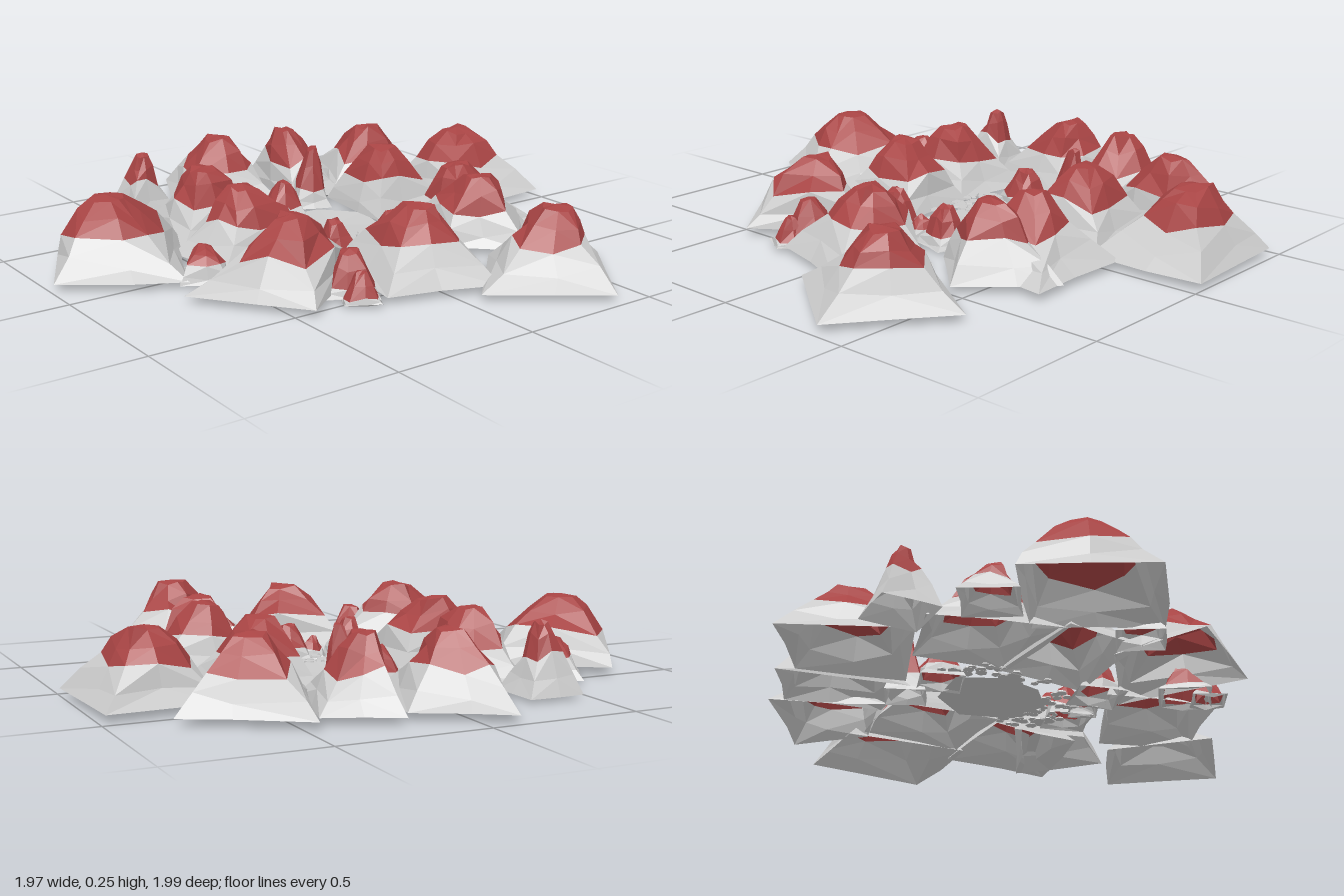
import * as THREE from 'three';

const grey = new THREE.MeshStandardMaterial({ color: 0xcccccc, flatShading: true, side: THREE.DoubleSide });
const red = new THREE.MeshStandardMaterial({ color: 0xa84444, flatShading: true, side: THREE.DoubleSide });

let seed = 11;
const rnd = () => ((seed = (seed * 16807) % 2147483647) / 2147483647);
const jit = (a) => (rnd() - 0.5) * 2 * a;

// Skin a stack of closed rings with triangles; the last ring is closed by a fan if an apex is given
function skin(rings, apex) {
  const pos = [];
  const tri = (...pts) => pts.forEach((p) => pos.push(p.x, p.y, p.z));
  for (let k = 0; k + 1 < rings.length; k++) {
    const a = rings[k], b = rings[k + 1], n = a.length;
    for (let i = 0; i < n; i++) {
      const j = (i + 1) % n;
      if (i % 2) { tri(a[j], a[i], b[i]); tri(a[j], b[i], b[j]); }
      else { tri(a[j], a[i], b[j]); tri(a[i], b[i], b[j]); }
    }
  }
  if (apex) {
    const t = rings[rings.length - 1];
    t.forEach((p, i) => tri(t[(i + 1) % t.length], p, apex));
  }
  const g = new THREE.BufferGeometry();
  g.setAttribute('position', new THREE.Float32BufferAttribute(pos, 3));
  g.computeVertexNormals();
  return g;
}

// One hollow peak: four base corners clockwise from above, cap centre and radius, heights
function mountain(name, corners, cx, cz, r, y0, ySnow, yTop) {
  // Wavy base outline with a point in the middle of each edge
  const base = [];
  corners.forEach((p, i) => {
    const q = corners[(i + 1) % 4];
    const m = p.clone().lerp(q, 0.5 + jit(0.1));
    m.lerp(new THREE.Vector2(cx, cz), 0.01 + jit(0.07));
    base.push(new THREE.Vector3(p.x, y0, p.y), new THREE.Vector3(m.x, y0, m.y));
  });
  // Cap rings follow the base outline, rounded off
  const reach = base.map((p) => Math.hypot(p.x - cx, p.z - cz));
  const mean = reach.reduce((a, b) => a + b) / reach.length;
  const ring = (scale, y, dy, ox, oz) => base.map((p, i) => {
    const f = r * scale * (reach[i] / mean) ** 0.35 * (1 + jit(0.12)) / reach[i];
    return new THREE.Vector3(cx + ox + (p.x - cx) * f, y + jit(dy), cz + oz + (p.z - cz) * f);
  });
  const ox = jit(r * 0.15), oz = jit(r * 0.15);
  const snow = ring(1, ySnow, (yTop - y0) * 0.1, 0, 0);
  const mid = base.map((p, i) => {
    const q = p.clone().lerp(snow[i], 0.5 + jit(0.1));
    q.x += jit(mean * 0.05);
    q.z += jit(mean * 0.05);
    q.y += i % 2 ? -0.014 : 0;
    return q;
  });
  const shoulder = ring(0.68, ySnow + (yTop - ySnow) * 0.52, (yTop - y0) * 0.06, ox / 2, oz / 2);
  const top = ring(0.37, yTop - 0.009, 0.009, ox, oz);
  const group = new THREE.Group();
  group.name = name;
  const slope = new THREE.Mesh(skin([base, mid, snow]), grey);
  slope.name = 'slope';
  const cap = new THREE.Mesh(skin([snow, shoulder, top], new THREE.Vector3(cx + ox, yTop, cz + oz)), red);
  cap.name = 'cap';
  group.add(slope, cap);
  return group;
}

// Large peaks: x, z of the four corners, then cap x, z and radius
const large = [
  [-0.47, -0.98, -0.03, -1, -0.02, -0.58, -0.46, -0.62, -0.28, -0.79, 0.15],
  [-0.6, -0.82, -0.39, -0.62, -0.44, -0.31, -0.82, -0.46, -0.53, -0.55, 0.135],
  [-0.77, -0.44, -0.44, -0.37, -0.43, -0.13, -0.88, -0.21, -0.65, -0.25, 0.115],
  [-0.42, -0.58, -0.05, -0.59, -0.04, -0.25, -0.42, -0.28, -0.24, -0.4, 0.135],
  [-0.04, -0.69, 0.37, -0.69, 0.3, -0.3, -0.03, -0.28, 0.13, -0.47, 0.12],
  [0.26, -0.7, 0.5, -0.45, 0.31, -0.25, 0.05, -0.3, 0.26, -0.41, 0.125],
  [0.64, -0.64, 0.98, -0.38, 0.73, -0.04, 0.45, -0.32, 0.69, -0.36, 0.135],
  [0.39, -0.28, 0.7, -0.15, 0.58, 0.21, 0.19, 0.12, 0.41, -0.02, 0.14],
  [-0.82, -0.18, -0.46, -0.1, -0.59, 0.28, -0.99, 0.1, -0.7, 0.04, 0.135],
  [-0.52, 0.09, -0.2, 0.13, -0.17, 0.5, -0.6, 0.38, -0.36, 0.29, 0.13],
  [-0.22, 0.12, 0.1, 0.1, 0.1, 0.5, -0.18, 0.53, -0.08, 0.29, 0.135],
  [0.27, 0.06, 0.54, 0.45, 0.2, 0.71, 0.05, 0.4, 0.31, 0.38, 0.15],
  [-0.27, 0.44, 0.1, 0.63, -0.13, 0.99, -0.5, 0.78, -0.25, 0.73, 0.17],
];

// Small peaks: x, z, half width of base, cap radius, snow line, top
const small = [
  [-0.68, 0.37, 0.097, 0.06, 0.14, 0.25],
  [-0.47, 0.56, 0.095, 0.068, 0.08, 0.15],
  [0.06, 0.55, 0.078, 0.068, 0.07, 0.125],
  [0.43, 0.24, 0.09, 0.085, 0.04, 0.16],
  [0.51, 0.26, 0.06, 0.055, 0.03, 0.11],
  [-0.42, -0.2, 0.07, 0.056, 0.09, 0.24],
  [-0.36, -0.04, 0.075, 0.068, 0.06, 0.15],
  [0.17, -0.13, 0.08, 0.068, 0.06, 0.15],
  [0.18, -0.03, 0.05, 0.04, 0.05, 0.1],
  [0.16, 0.1, 0.085, 0.068, 0.06, 0.16],
];

// Stone trails through the valley: start, middle and end points, count
const trails = [
  [-0.02, -0.26, 0.04, -0.14, 0.06, 0.04, 36],
  [0.02, -0.26, 0.12, -0.2, 0.12, -0.03, 30],
  [-0.36, 0.03, -0.28, 0.1, -0.12, 0.09, 26],
  [-0.15, -0.02, -0.13, 0.04, -0.05, 0.08, 14],
];

export function createModel() {
  const model = new THREE.Group();
  model.name = 'mountainRing';
  for (const p of large) {
    const corners = [0, 2, 4, 6].map((i) => new THREE.Vector2(p[i], p[i + 1]));
    model.add(mountain('largeMountain', corners, p[8], p[9], p[10], 0.03, 0.143, 0.257));
  }
  small.forEach(([x, z, w, r, ySnow, yTop], k) => {
    const turn = k ? 0.2 + rnd() * 0.5 : 0;
    const corners = [0, 1, 2, 3].map((i) => {
      const a = turn + Math.PI * (1.25 + i / 2), d = w * Math.SQRT2;
      return new THREE.Vector2(x + Math.cos(a) * d, z + Math.sin(a) * d);
    });
    model.add(mountain('smallMountain', corners, x, z, r, 0.018, ySnow, yTop));
  });

  // Low faceted floor of the central valley
  const rim = [];
  for (let i = 0; i < 7; i++) {
    const a = -(i / 7) * Math.PI * 2, d = 0.19 + jit(0.03);
    rim.push(new THREE.Vector3(-0.14 + Math.cos(a) * d, 0.025 + jit(0.008), -0.08 + Math.sin(a) * d));
  }
  const floor = new THREE.Mesh(skin([rim], new THREE.Vector3(-0.15, 0.02, -0.11)), grey);
  floor.name = 'valleyFloor';
  model.add(floor);

  // Small flat stones scattered along the trails
  const stones = new THREE.Group();
  stones.name = 'stones';
  const pebble = new THREE.CylinderGeometry(0.016, 0.018, 0.006, 6);
  for (const [x0, z0, x1, z1, x2, z2, n] of trails) {
    const curve = new THREE.CatmullRomCurve3([
      new THREE.Vector3(x0, 0.036, z0), new THREE.Vector3(x1, 0.036, z1), new THREE.Vector3(x2, 0.036, z2),
    ]);
    for (let i = 0; i < n; i++) {
      const stone = new THREE.Mesh(pebble, grey);
      stone.name = 'stone';
      stone.position.copy(curve.getPoint(i / (n - 1)));
      stone.position.x += jit(0.03);
      stone.position.z += jit(0.03);
      stone.rotation.y = rnd() * 3;
      stone.scale.setScalar(0.6 + rnd() * 0.6);
      stones.add(stone);
    }
  }
  model.add(stones);
  return model;
}
